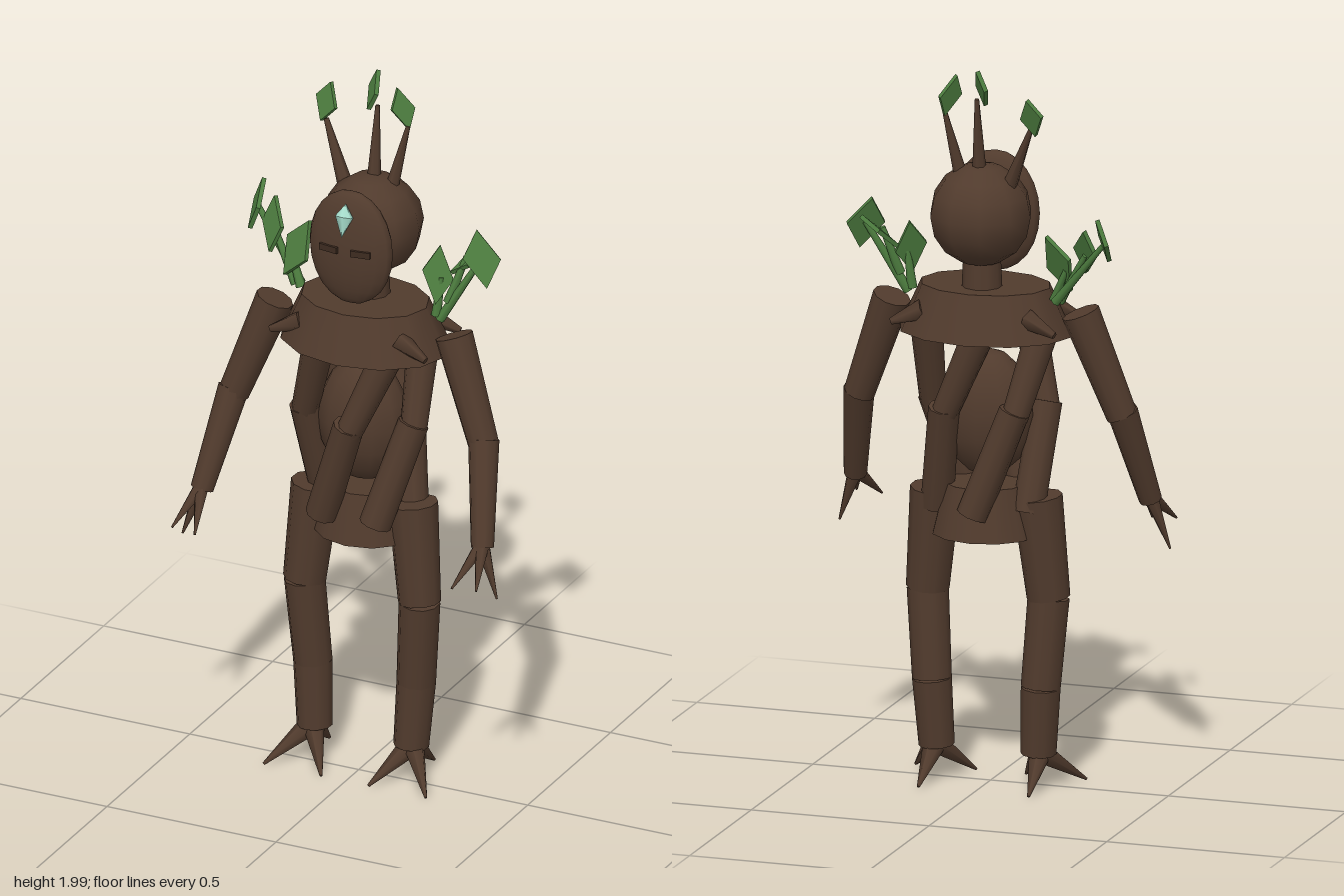
import * as THREE from 'three';

const V = (a) => new THREE.Vector3(...a);
const UP = new THREE.Vector3(0, 1, 0);

export function createModel() {
  const root = new THREE.Group();
  const mat = (name, color) => {
    const m = new THREE.MeshStandardMaterial({ color });
    m.name = name;
    return m;
  };
  const bark = mat('bark brown', 0x513b2d);
  const green = mat('leaf green', 0x4d7d3f);
  const teal = mat('pale teal gem', 0xa5dccb);
  const dark = mat('dark bark', 0x3d2b20);

  const add = (name, geo, m, pos = [0, 0, 0], scale = [1, 1, 1], parent = root) => {
    const mesh = new THREE.Mesh(geo, m);
    mesh.name = name;
    mesh.position.set(...pos);
    mesh.scale.set(...scale);
    parent.add(mesh);
    return mesh;
  };

  // Tapered log between two points, radius ra at a and rb at b
  const limb = (name, a, b, ra, rb, parent = root, sides = 10) => {
    const p = V(a), q = V(b), d = q.clone().sub(p);
    const mid = p.clone().add(q).multiplyScalar(0.5);
    const geo = new THREE.CylinderGeometry(rb, ra, d.length(), sides);
    const mesh = add(name, geo, bark, mid.toArray(), [1, 1, 1], parent);
    mesh.quaternion.setFromUnitVectors(UP, d.normalize());
    return mesh;
  };

  // Diamond leaf plate given its centre, facing and long axis
  const leaf = (c, normal, axis, w, h) => {
    const s = new THREE.Shape();
    s.moveTo(0, -h / 2);
    s.lineTo(w / 2, -h * 0.06);
    s.lineTo(0, h / 2);
    s.lineTo(-w / 2, h * 0.06);
    s.closePath();
    const geo = new THREE.ExtrudeGeometry(s, { depth: 0.012, bevelEnabled: false });
    geo.translate(0, 0, -0.006);
    const mesh = add('leaf', geo, green, c);
    const z = V(normal).normalize();
    const x = V(axis).cross(z).normalize();
    const y = z.clone().cross(x);
    mesh.quaternion.setFromRotationMatrix(new THREE.Matrix4().makeBasis(x, y, z));
  };

  // Head, neck and mask
  add('head', new THREE.SphereGeometry(0.14, 10, 8), bark, [0, 1.585, -0.08]);
  limb('neck', [0, 1.36, -0.07], [0, 1.47, -0.07], 0.055, 0.05);
  add('mask', new THREE.SphereGeometry(1, 16, 12), bark, [0, 1.565, 0.045], [0.123, 0.165, 0.043]);
  for (const s of [-1, 1]) {
    add('eye', new THREE.BoxGeometry(0.055, 0.018, 0.009), dark, [s * 0.047, 1.568, 0.086]).rotation.y = s * 0.15;
  }
  const gem = add('foreheadGem', new THREE.ConeGeometry(1, 1, 6), teal, [0, 1.688, 0.083], [0.026, 0.036, 0.018]);
  gem.rotation.x = -0.3;
  const gemLow = add('foreheadGemLower', new THREE.ConeGeometry(1, 1, 6), teal, [0, 1.643, 0.096], [0.026, 0.058, 0.018]);
  gemLow.rotation.x = Math.PI - 0.3;

  // Twigs on the head
  limb('headTwig', [-0.08, 1.66, -0.09], [-0.155, 1.84, -0.12], 0.022, 0.007, root, 6);
  limb('headTwig', [0, 1.69, -0.09], [-0.003, 1.91, -0.12], 0.02, 0.006, root, 6);
  limb('headTwig', [0.048, 1.67, -0.09], [0.09, 1.87, -0.115], 0.02, 0.006, root, 6);
  leaf([-0.165, 1.878, -0.143], [-0.3, 0.3, 0.9], [0.12, 1, -0.2], 0.075, 0.11);
  leaf([-0.022, 1.945, -0.135], [-0.75, 0.3, 0.6], [-0.2, 1, -0.1], 0.065, 0.11);
  leaf([0.072, 1.915, -0.12], [0.7, 0.25, 0.6], [-0.4, 1, -0.1], 0.065, 0.12);

  // Shoulder collar with bark thorns
  const collar = new THREE.CylinderGeometry(0.18, 0.24, 0.13, 12);
  add('shoulderCollar', collar, bark, [0, 1.32, -0.04], [1, 1, 0.75]);
  for (const deg of [50, 130, 230, 310]) {
    const a = THREE.MathUtils.degToRad(deg), x = Math.sin(a), z = Math.cos(a);
    limb('collarThorn', [x * 0.19, 1.32, z * 0.14 - 0.04],
      [x * 0.3, 1.285, z * 0.165 - 0.04], 0.03, 0.01, root, 5);
  }

  // Torso core wrapped in five twisting two-part vines
  add('torsoCore', new THREE.SphereGeometry(1, 12, 8), bark, [0, 1.03, -0.03], [0.13, 0.175, 0.095]);
  const ring = (deg, y, rx, rz) => {
    const a = THREE.MathUtils.degToRad(deg);
    return [-Math.sin(a) * rx, y, Math.cos(a) * rz - 0.03];
  };
  for (let i = 0; i < 5; i++) {
    const t = -5 + i * 72;
    const top = ring(t - 38, 1.28, 0.17, 0.115);
    const mid = ring(t, 1.04, 0.165, 0.12);
    const low = ring(t + 42, 0.77, 0.135, 0.11);
    limb('upperVine', mid, top, 0.036, 0.044);
    limb('lowerVine', low, mid.map((v, k) => v + (k === 1 ? 0.02 : 0)), 0.044, 0.042);
  }

  // Pelvis
  add('pelvis', new THREE.CylinderGeometry(0.11, 0.145, 0.14, 12), bark, [0, 0.77, -0.045], [1, 1, 0.88]);

  // Shoulder twigs and leaves
  for (const [b, e] of [
    [[-0.2, 1.36, -0.06], [-0.24, 1.45, -0.08]], [[-0.22, 1.36, -0.07], [-0.3, 1.5, -0.1]],
    [[-0.21, 1.36, -0.08], [-0.36, 1.54, -0.125]], [[0.2, 1.36, -0.06], [0.21, 1.47, -0.07]],
    [[0.21, 1.35, -0.06], [0.32, 1.54, -0.095]], [[0.23, 1.4, -0.07], [0.27, 1.53, -0.1]],
  ]) {
    limb('shoulderTwig', b, e, 0.014, 0.008, root, 6).material = green;
  }
  leaf([-0.218, 1.465, -0.075], [-0.4, 0.35, 0.85], [0.35, 1, -0.2], 0.1, 0.17);
  leaf([-0.3, 1.51, -0.095], [-0.5, 0.35, 0.8], [-0.25, 1, -0.25], 0.085, 0.15);
  leaf([-0.357, 1.55, -0.115], [-0.85, 0.3, 0.45], [-0.35, 1, -0.15], 0.085, 0.14);
  leaf([0.2, 1.475, -0.07], [0.45, 0.3, 0.85], [0, 1, -0.2], 0.085, 0.16);
  leaf([0.32, 1.537, -0.09], [0.4, 0.35, 0.85], [-0.3, 1, -0.2], 0.1, 0.16);
  leaf([0.275, 1.52, -0.11], [-0.55, 0.75, 0.35], [0.5, 0.7, -0.2], 0.06, 0.13);

  // Arms and legs, mirrored
  for (const s of [-1, 1]) {
    const side = s > 0 ? 'left' : 'right';
    const arm = new THREE.Group(), leg = new THREE.Group();
    arm.name = side + 'Arm';
    leg.name = side + 'Leg';
    root.add(arm, leg);
    const m = ([x, y, z]) => [s * x, y, z];

    limb('upperArm', m([0.37, 1.04, 0.0]), m([0.265, 1.325, -0.035]), 0.042, 0.052, arm);
    limb('forearm', m([0.415, 0.79, 0.1]), m([0.37, 1.055, 0.0]), 0.031, 0.042, arm);
    for (const tip of [[0.38, 0.71, 0.215], [0.45, 0.715, 0.21], [0.465, 0.655, 0.115]]) {
      limb('finger', m([0.415, 0.8, 0.1]), m(tip), 0.021, 0.003, arm, 6);
    }

    limb('thigh', m([0.17, 0.53, -0.02]), m([0.143, 0.81, -0.035]), 0.058, 0.068, leg);
    limb('shin', m([0.153, 0.285, -0.035]), m([0.17, 0.53, -0.02]), 0.053, 0.056, leg);
    limb('ankle', m([0.143, 0.1, -0.025]), m([0.153, 0.285, -0.035]), 0.048, 0.053, leg);
    for (const tip of [[0.07, 0.01, 0.085], [0.24, 0.01, 0.085], [0.155, 0.01, -0.14]]) {
      limb('toe', m([0.148, 0.105, -0.025]), m(tip), 0.032, 0.004, leg, 6);
    }
  }
  return root;
}
